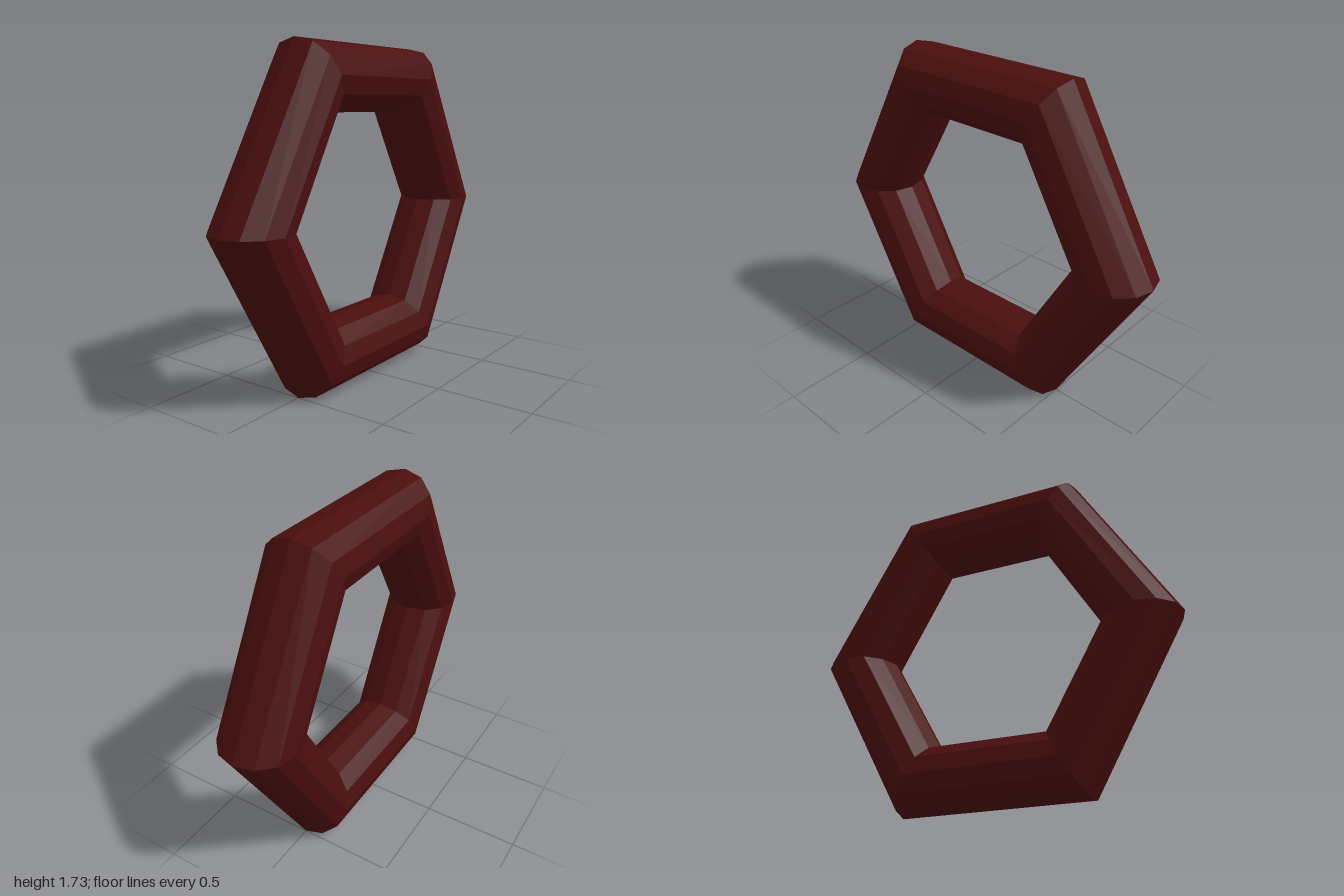
import * as THREE from 'three';

export function createModel() {
  const model = new THREE.Group();
  model.name = 'hexagonalRing';

  const darkRed = new THREE.MeshStandardMaterial({ color: 0x4a0e0e, flatShading: true });
  darkRed.name = 'darkRed';

  // Six straight segments with a twelve-sided tube section
  const ringRadius = 0.8, tubeRadius = 0.2;
  const ring = new THREE.Mesh(new THREE.TorusGeometry(ringRadius, tubeRadius, 12, 6), darkRed);
  ring.name = 'ring';

  // Rest the lower flat side on the ground
  ring.position.y = (ringRadius + tubeRadius) * Math.sin(Math.PI / 3);
  model.add(ring);
  return model;
}
